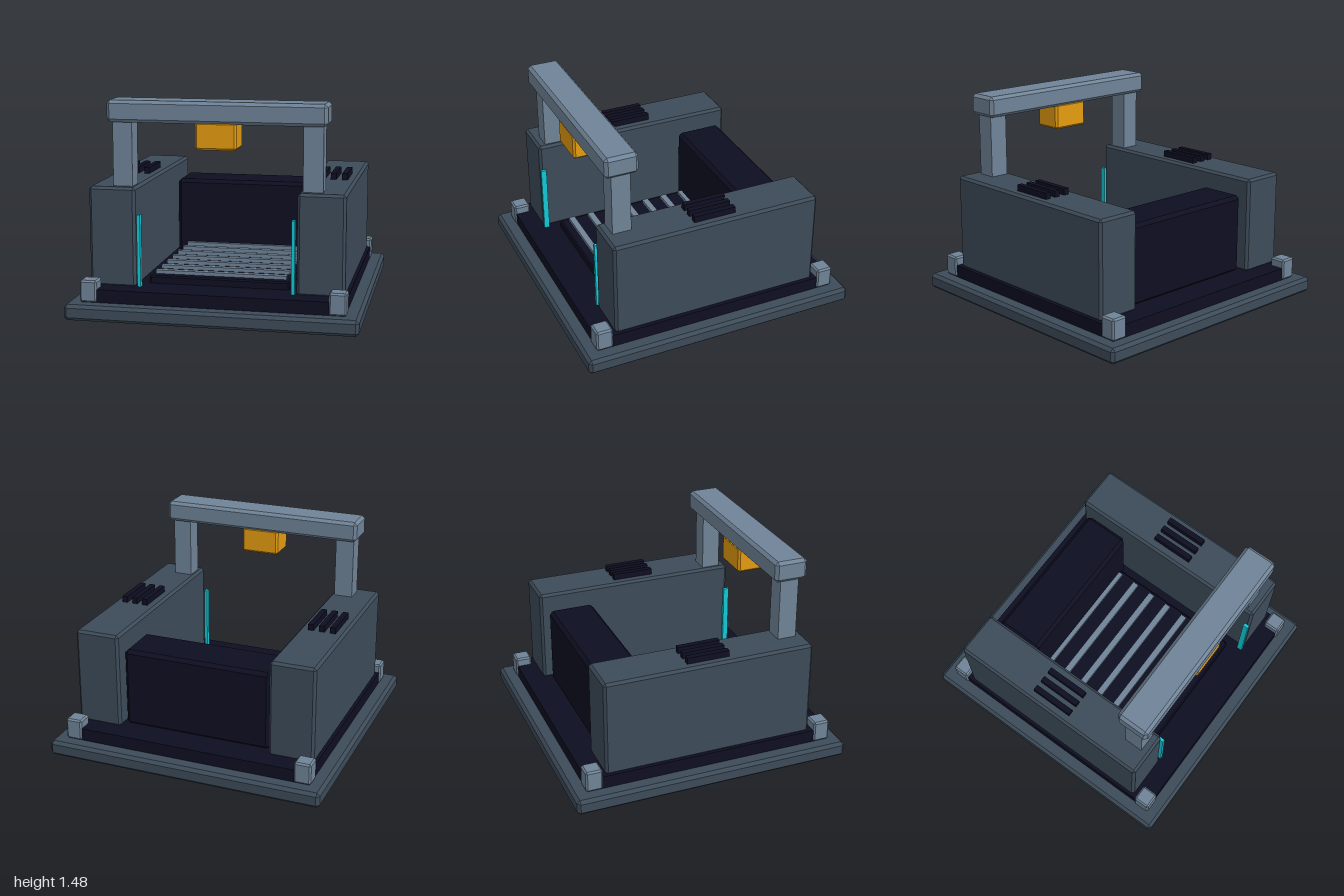
import * as THREE from 'three';
import { ConvexGeometry } from 'three/addons/geometries/ConvexGeometry.js';

const mat = (name, color) => {
  const m = new THREE.MeshStandardMaterial({ color });
  m.name = name;
  return m;
};

// Box with flat chamfers on all edges, centred on the origin
function chamferBox(w, h, d, c) {
  const pts = [];
  for (const sx of [-1, 1]) for (const sy of [-1, 1]) for (const sz of [-1, 1]) {
    const x = w / 2, y = h / 2, z = d / 2;
    for (const [a, b, e] of [[0, c, c], [c, 0, c], [c, c, 0]]) {
      pts.push(new THREE.Vector3(sx * (x - a), sy * (y - b), sz * (z - e)));
    }
  }
  return new ConvexGeometry(pts);
}

export function createModel() {
  const slate = mat('dark slate', 0x3d4b59);
  const steel = mat('steel grey', 0x708498);
  const navy = mat('near-black navy', 0x0e0e22);
  const amber = mat('amber', 0xe59c10);
  const cyan = mat('cyan', 0x12cad8);
  const model = new THREE.Group();
  model.name = 'scannerBay';

  // Adds a block from its min/max extents; c is the chamfer size
  const block = (name, material, [x0, x1], [y0, y1], [z0, z1], c = 0) => {
    const w = x1 - x0, h = y1 - y0, d = z1 - z0;
    const geo = c ? chamferBox(w, h, d, c) : new THREE.BoxGeometry(w, h, d);
    const mesh = new THREE.Mesh(geo, material);
    mesh.position.set((x0 + x1) / 2, (y0 + y1) / 2, (z0 + z1) / 2);
    mesh.name = name;
    model.add(mesh);
  };
  // Mirrors an x extent to the other side
  const side = (s, a, b) => (s > 0 ? [a, b] : [-b, -a]);

  // Floor slabs
  block('basePlate', slate, [-1, 1], [0, 0.11], [-1, 1], 0.022);
  block('plinth', navy, [-0.9, 0.9], [0.1, 0.2], [-0.9, 0.9]);
  block('conveyorBed', navy, [-0.49, 0.49], [0.19, 0.255], [-0.45, 0.65], 0.01);
  block('backHousing', navy, [-0.54, 0.54], [0.19, 0.765], [-0.7, -0.36], 0.025);

  // Conveyor rollers
  for (let i = 0; i < 7; i++) {
    const z = -0.35 + i * 0.1525;
    block('conveyorBar', steel, [-0.46, 0.46], [0.25, 0.28], [z - 0.023, z + 0.023]);
  }

  for (const s of [-1, 1]) {
    block('sideWall', slate, side(s, 0.555, 0.88), [0.19, 0.885], [-0.76, 0.76], 0.018);
    block('lightStrip', cyan, side(s, 0.52, 0.543), [0.2, 0.7], [0.725, 0.765]);
    block('gantryPost', steel, side(s, 0.585, 0.72), [0.87, 1.35], [0.567, 0.702]);
    // Vent fins on the wall top
    for (const x of [0.64, 0.72, 0.8]) {
      block('ventFin', navy, side(s, x - 0.02, x + 0.02), [0.87, 0.93], [-0.153, 0.153]);
    }
    // Corner blocks
    for (const z of [-0.85, 0.85]) {
      block('cornerBlock', steel, side(s, 0.79, 0.91), [0.11, 0.262], [z - 0.06, z + 0.06], 0.012);
    }
  }

  // Overhead gantry
  block('gantryBeam', steel, [-0.75, 0.75], [1.325, 1.475], [0.515, 0.752], 0.022);
  block('scannerHead', amber, [-0.142, 0.142], [1.15, 1.34], [0.527, 0.74], 0.015);

  return model;
}
